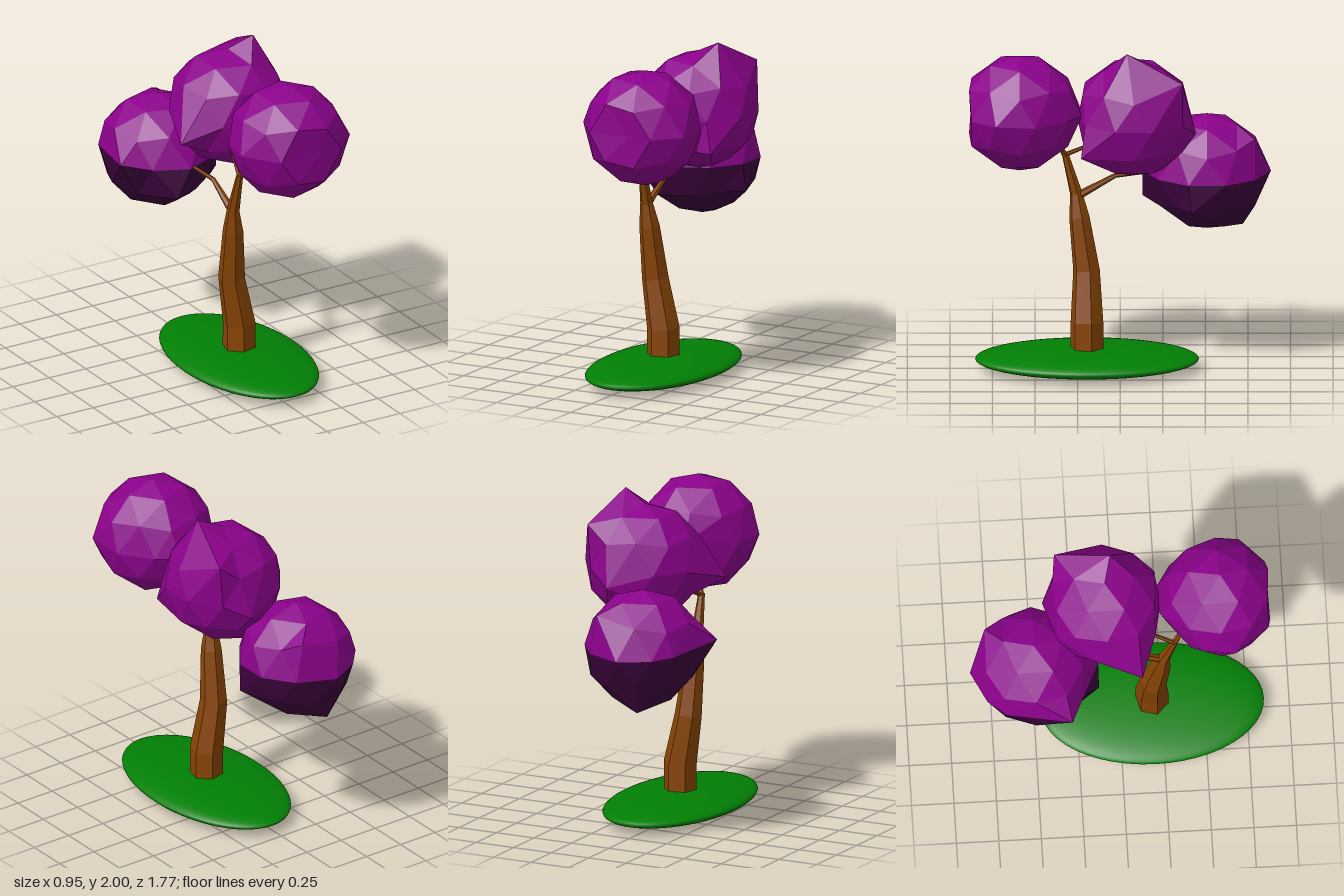
import * as THREE from 'three';

const leafPurple = new THREE.MeshStandardMaterial({ color: 0x8b028b, flatShading: true });
const leafDark = new THREE.MeshStandardMaterial({ color: 0x3a023a, flatShading: true });
const barkBrown = new THREE.MeshStandardMaterial({ color: 0x874403, flatShading: true });
const grassGreen = new THREE.MeshStandardMaterial({ color: 0x027f04 });

// Faceted ball whose nearest corner is pulled out to each given point;
// the lower half takes its own material
function foliage(name, center, radius, lowerMaterial, pulls) {
  const geo = new THREE.IcosahedronGeometry(radius, 1);
  geo.rotateZ(Math.atan(2 / (1 + Math.sqrt(5)))); // one corner straight up
  geo.rotateY(Math.PI);
  const pos = geo.attributes.position;
  for (let i = 0; i < pos.count; i += 3) {
    const height = pos.getY(i) + pos.getY(i + 1) + pos.getY(i + 2);
    geo.addGroup(i, 3, height > 0 ? 0 : 1);
  }
  geo.translate(...center);
  const p = new THREE.Vector3();
  const at = (i) => p.fromBufferAttribute(pos, i);
  for (const pull of pulls) {
    const target = new THREE.Vector3(...pull);
    const near = new THREE.Vector3();
    let best = Infinity;
    for (let i = 0; i < pos.count; i++) {
      const d = at(i).distanceTo(target);
      if (d < best) { best = d; near.copy(p); }
    }
    for (let i = 0; i < pos.count; i++) {
      if (at(i).distanceTo(near) < 1e-3) pos.setXYZ(i, ...pull);
    }
  }
  geo.computeVertexNormals();
  const mesh = new THREE.Mesh(geo, [leafPurple, lowerMaterial]);
  mesh.name = name;
  return mesh;
}

// Tapered limb through joints [x, y, z, radius], capped at both ends
function limb(name, joints, sides = 6) {
  const c = joints.map((j) => new THREE.Vector3(j[0], j[1], j[2]));
  const verts = [], index = [];
  joints.forEach((j, k) => {
    const t = c[Math.min(k + 1, c.length - 1)].clone().sub(c[Math.max(k - 1, 0)]).normalize();
    const u = new THREE.Vector3(1, 0, 0).addScaledVector(t, -t.x).normalize();
    const v = t.clone().cross(u);
    for (let i = 0; i < sides; i++) {
      const a = (i / sides) * Math.PI * 2 + Math.PI / 12;
      const q = c[k].clone().addScaledVector(u, j[3] * Math.cos(a)).addScaledVector(v, j[3] * Math.sin(a));
      verts.push(q.x, q.y, q.z);
      if (k > 0) {
        const n = (i + 1) % sides, lo = (k - 1) * sides, hi = k * sides;
        index.push(lo + i, lo + n, hi + n, lo + i, hi + n, hi + i);
      }
    }
  });
  const top = (joints.length - 1) * sides;
  for (let i = 1; i < sides - 1; i++) index.push(0, i + 1, i, top, top + i, top + i + 1);
  const geo = new THREE.BufferGeometry();
  geo.setAttribute('position', new THREE.Float32BufferAttribute(verts, 3));
  geo.setIndex(index);
  geo.computeVertexNormals();
  const mesh = new THREE.Mesh(geo, barkBrown);
  mesh.name = name;
  return mesh;
}

export function createModel() {
  const tree = new THREE.Group();
  tree.name = 'tree';

  // Flattened oval of grass
  const ground = new THREE.Mesh(new THREE.SphereGeometry(1, 48, 24), grassGreen);
  ground.name = 'grassMound';
  ground.scale.set(0.38, 0.07, 0.657);
  ground.position.set(0.033, 0.075, 0.195);
  tree.add(ground);

  // Trunk and branches
  tree.add(
    limb('trunk', [
      [0.033, 0.08, 0.195, 0.099], [0.033, 0.3, 0.195, 0.099], [-0.02, 0.6, 0.198, 0.081],
      [-0.035, 0.92, 0.24, 0.062], [-0.045, 1.06, 0.258, 0.038], [-0.04, 1.31, 0.325, 0.02],
    ]),
    limb('frontBranch', [[-0.04, 1.29, 0.32, 0.019], [0, 1.38, 0.365, 0.014], [0.06, 1.5, 0.45, 0.01]]),
    limb('middleBranch', [[-0.04, 1.3, 0.32, 0.014], [0, 1.37, 0.18, 0.01], [0.06, 1.43, 0.06, 0.009]]),
    limb('backBranch', [
      [-0.045, 1.04, 0.26, 0.026], [-0.045, 1.17, 0.03, 0.014],
      [-0.07, 1.185, -0.15, 0.011], [-0.1, 1.19, -0.3, 0.009],
    ]),
  );

  // Three clumps of leaves, the lowest one dark underneath
  tree.add(
    foliage('frontFoliage', [0.12, 1.605, 0.59], 0.35, leafPurple, [
      [0.13, 1.95, 0.6], [0.14, 1.255, 0.59], [0.47, 1.61, 0.73], [0.46, 1.6, 0.5],
      [-0.24, 1.61, 0.67], [0.2, 1.6, 0.225], [0.03, 1.62, 0.24], [0.18, 1.61, 0.88],
    ]),
    foliage('middleFoliage', [0.12, 1.575, -0.08], 0.355, leafPurple, [
      [0.27, 2.0, -0.04], [-0.32, 1.49, 0.12], [0.35, 1.84, -0.365],
      [0.18, 1.49, -0.445], [0.1, 1.25, -0.25], [0.37, 1.39, 0.23], [0.12, 1.56, 0.25],
    ]),
    foliage('backFoliage', [-0.1, 1.185, -0.51], 0.35, leafDark, [
      [-0.48, 1.23, -0.3], [-0.12, 1.18, -0.885], [-0.4, 1.2, -0.69], [0.06, 1.42, -0.79],
      [-0.17, 0.84, -0.72], [0.245, 1.02, -0.42], [-0.19, 1.01, -0.13], [-0.1, 1.185, -0.13],
    ]),
  );
  return tree;
}
